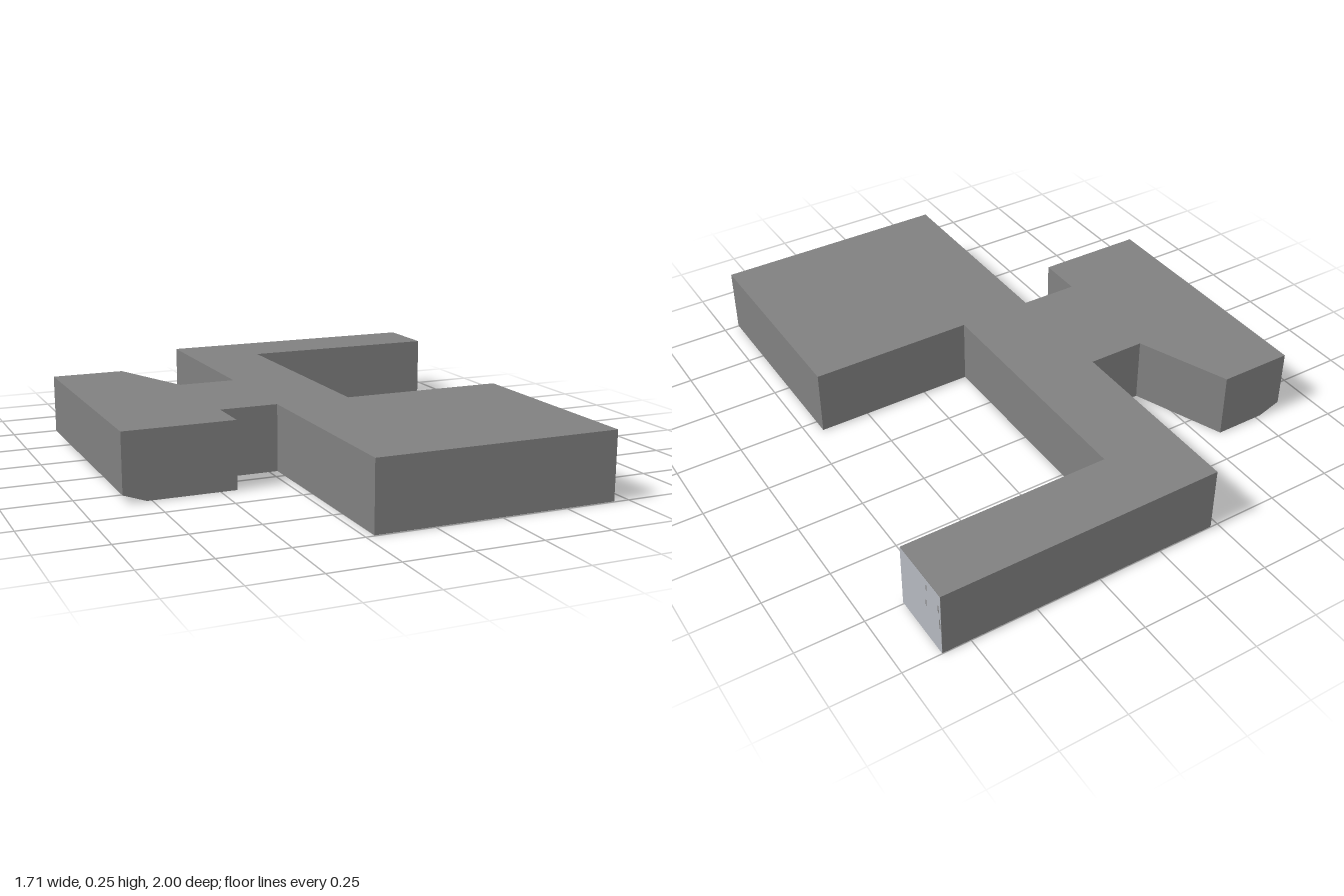
import * as THREE from 'three';

const H = 0.255, CUT = -0.77, LEFT = -0.855, BASE = 0.002;

// plan outline as [x, z], without the bevelled strip along the -x side
const OUTLINE = [
  [CUT, 0.36], [-0.44, 0.36], [-0.44, 0.19], [-0.22, 0.19], [-0.22, 1], [0.69, 1],
  [0.69, 0.19], [0.065, 0.19], [0.065, -0.745], [0.855, -0.745], [0.855, -1],
  [-0.22, -1], [-0.22, -0.27], [-0.44, -0.27], [-0.575, -0.62], [CUT, -0.62],
];

// spots on the underside as [x, z, radius]
const SPOTS = [
  [0.58, 0.9, 0.01], [0.47, 0.66, 0.016], [0.41, 0.39, 0.018], [0.24, 0.8, 0.014],
  [0.57, 0.52, 0.014], [0.24, 0.23, 0.018], [0.42, 0.25, 0.014], [0.36, 0.56, 0.014],
  [0.5, 0.78, 0.012], [0.3, 0.68, 0.015], [-0.5, -0.09, 0.018], [-0.51, 0.3, 0.018],
  [-0.63, 0.17, 0.016], [-0.69, -0.12, 0.02], [-0.56, -0.55, 0.016], [-0.3, -0.13, 0.014],
  [-0.6, -0.3, 0.015], [0.82, -0.94, 0.018], [0.62, -0.94, 0.012], [0.26, -0.92, 0.014],
  [0.15, -0.81, 0.014], [0.4, -0.88, 0.01],
];

const shapeOf = (pts) => new THREE.Shape(pts.map(([x, y]) => new THREE.Vector2(x, y)));

export function createModel() {
  const model = new THREE.Group();
  const grey = new THREE.MeshStandardMaterial({ color: 0x808080 });
  grey.name = 'mid grey';
  const pale = new THREE.MeshStandardMaterial({ color: 0xb4b7be });
  pale.name = 'pale grey';

  const add = (name, geometry, material) => {
    const mesh = new THREE.Mesh(geometry, material);
    mesh.name = name;
    model.add(mesh);
    return mesh;
  };

  // main slab with its square block, stem, arm and wing
  const slab = new THREE.ExtrudeGeometry(shapeOf(OUTLINE.map(([x, z]) => [x, -z])),
    { depth: H - BASE, bevelEnabled: false });
  slab.rotateX(-Math.PI / 2).translate(0, BASE, 0);
  add('slab', slab, grey);

  // outer strip of the wing, bevelled along its lower edge
  const strip = new THREE.ExtrudeGeometry(
    shapeOf([[CUT, BASE], [CUT, H], [LEFT, H], [LEFT, 0.032]]),
    { depth: 0.98, bevelEnabled: false });
  add('wingEdge', strip.translate(0, 0, -0.62), grey);

  // pale underside and bevel face
  const underside = new THREE.ShapeGeometry(shapeOf(OUTLINE));
  add('underside', underside.rotateX(Math.PI / 2).translate(0, 0.001, 0), pale);
  const dx = CUT - LEFT, dy = 0.03;
  const bevel = new THREE.PlaneGeometry(Math.hypot(dx, dy), 0.98).rotateX(Math.PI / 2);
  bevel.rotateZ(-Math.atan2(dy, dx)).translate((CUT + LEFT) / 2, 0.016, -0.13);
  add('bevelFace', bevel, pale);

  // pale end of the arm
  const cap = new THREE.PlaneGeometry(0.255, H - BASE).rotateY(Math.PI / 2);
  add('armEnd', cap.translate(0.856, (H + BASE) / 2, -0.8725), pale);

  // small grey spots below
  const spot = new THREE.CircleGeometry(1, 8).rotateX(Math.PI / 2);
  for (const [x, z, r] of SPOTS) {
    const mesh = add('undersideSpot', spot, grey);
    mesh.position.set(x, 0, z);
    mesh.scale.set(r, 1, r * 0.8);
  }

  // narrow grey flecks on the arm end
  const fleck = new THREE.CircleGeometry(1, 6).rotateY(Math.PI / 2);
  for (const [y, z, h] of [[0.22, -0.915, 0.015], [0.15, -0.91, 0.016], [0.19, -0.988, 0.02], [0.13, -0.994, 0.025]]) {
    const mesh = add('armEndFleck', fleck, grey);
    mesh.position.set(0.857, y, z);
    mesh.scale.set(1, h, 0.004);
  }
  return model;
}
